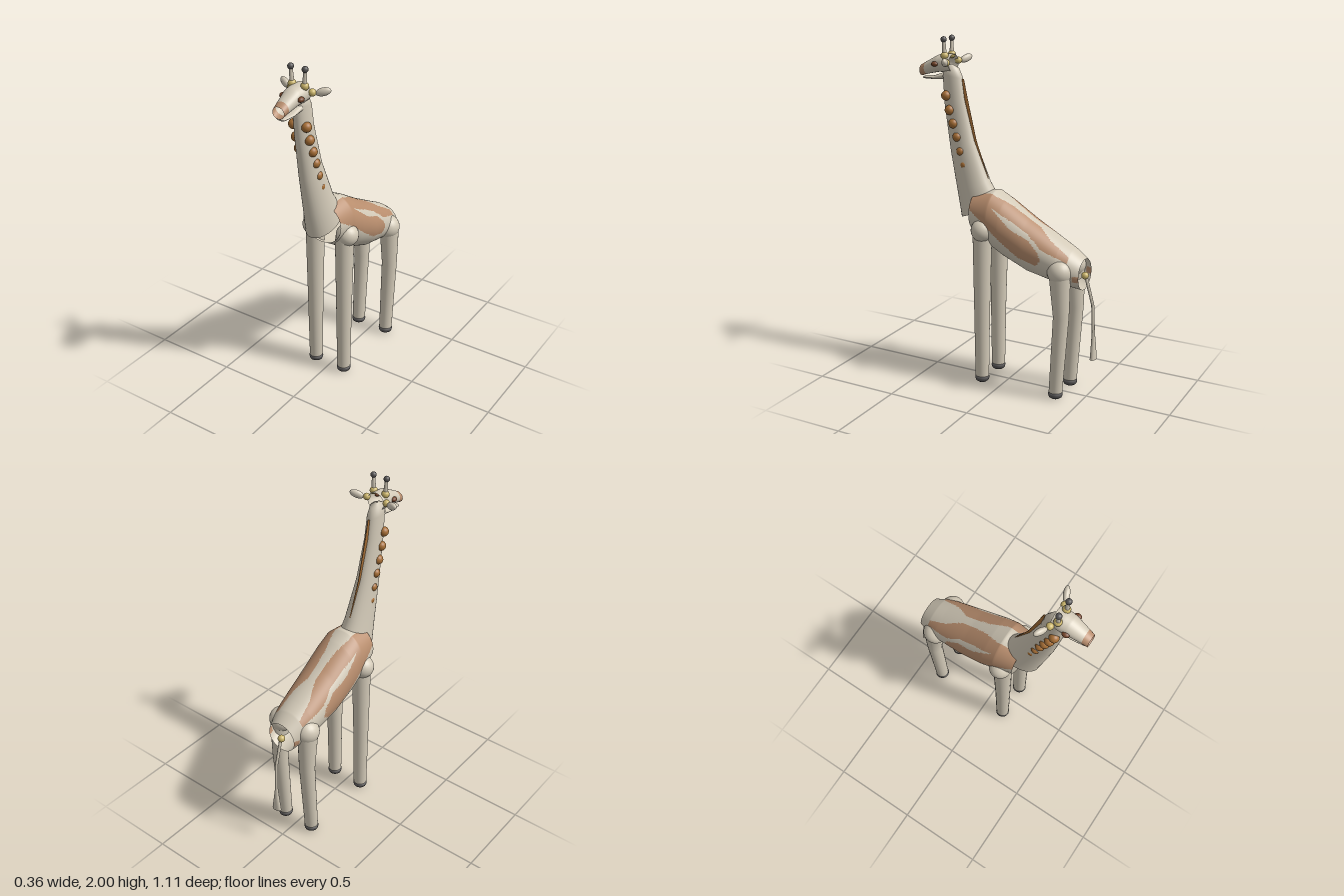
import * as THREE from 'three';

const material = (name, color) =>
  Object.assign(new THREE.MeshStandardMaterial({ color, side: THREE.DoubleSide }), { name });

// Piecewise-linear lookup in a list of [z, value], z descending
function lookup(table, z) {
  if (z >= table[0][0]) return table[0][1];
  for (let i = 1; i < table.length; i++) {
    const [za, a] = table[i - 1], [zb, b] = table[i];
    if (z >= zb) return a + (b - a) * (za - z) / (za - zb);
  }
  return table[table.length - 1][1];
}

// Elliptical tube. Each section is [y1, z1, y0, z0, halfWidth]: the two ends
// of its axis in the side plane and its half width in x.
// isSecond(x, y, z) picks the faces that take the second material.
function loft(sections, { x = 0, sides = 24, steps = 1, isSecond } = {}) {
  const rings = [];
  sections.forEach((s, i) => {
    if (i === 0) return rings.push(s);
    for (let k = 1; k <= steps; k++) {
      rings.push(s.map((v, n) => THREE.MathUtils.lerp(sections[i - 1][n], v, k / steps)));
    }
  });
  const pos = [], first = [], second = [];
  for (const [y1, z1, y0, z0, w] of rings) {
    for (let j = 0; j < sides; j++) {
      const t = j / sides * Math.PI * 2, c = Math.cos(t) / 2;
      pos.push(x + w * Math.sin(t), (y1 + y0) / 2 + (y1 - y0) * c, (z1 + z0) / 2 + (z1 - z0) * c);
    }
  }
  const mid = (tri, n) => tri.reduce((sum, v) => sum + pos[v * 3 + n], 0) / 3;
  for (let i = 0; i < rings.length - 1; i++) {
    for (let j = 0; j < sides; j++) {
      const a = i * sides + j, b = i * sides + (j + 1) % sides;
      for (const tri of [[a, b, a + sides], [b, b + sides, a + sides]]) {
        const hit = isSecond && isSecond(mid(tri, 0), mid(tri, 1), mid(tri, 2));
        (hit ? second : first).push(...tri);
      }
    }
  }
  const g = new THREE.BufferGeometry();
  g.setAttribute('position', new THREE.Float32BufferAttribute(pos, 3));
  g.setIndex([...first, ...second]);
  if (isSecond) {
    g.addGroup(0, first.length, 0);
    g.addGroup(first.length, second.length, 1);
  }
  g.computeVertexNormals();
  return g;
}

export function createModel() {
  const model = new THREE.Group();
  model.name = 'giraffe';
  const cream = material('cream hide', 0xd3cab8);
  const patch = material('tan patch', 0xb98e6e);
  const brown = material('brown spot', 0xa66e35);
  const yellow = material('yellow joint', 0xcdb76c);
  const dark = material('dark grey', 0x565454);
  const eyeBrown = material('eye brown', 0x75452a);

  const add = (name, geometry, mat, parent = model) => {
    const mesh = new THREE.Mesh(geometry, mat);
    mesh.name = name;
    parent.add(mesh);
    return mesh;
  };
  const ball = (name, mat, r, x, y, z, sx = 1, sy = 1, sz = 1) => {
    const m = add(name, new THREE.SphereGeometry(r, 24, 16), mat);
    m.position.set(x, y, z);
    m.scale.set(sx, sy, sz);
    return m;
  };

  // Body: open barrel sloping to the rump, with patches on both flanks
  const inner = [[0.195, 0.055], [0.05, 0.055], [-0.05, 0.03], [-0.2, 0.022], [-0.25, 0.04], [-0.3, 0.064], [-0.4, 0.075]];
  const lower = [[0.195, 1.05], [0.114, 1.0], [-0.02, 0.893], [-0.125, 0.815], [-0.23, 0.785], [-0.26, 0.81]];
  const streakTop = [[0.06, 1.08], [-0.07, 1.01], [-0.18, 0.946], [-0.257, 0.877], [-0.41, 0.815]];
  const streakBottom = [[0.06, 1.08], [-0.07, 0.972], [-0.18, 0.92], [-0.25, 0.855], [-0.27, 0.78]];
  const isPatch = (x, y, z) => {
    if (z < -0.44) return y > 0.71 && y < 0.745;
    if (z < -0.41 || Math.abs(x) < lookup(inner, z) || y < lookup(lower, z)) return false;
    return z > 0.06 || y > lookup(streakTop, z) || (z > -0.26 && y < lookup(streakBottom, z));
  };
  add('body', loft([
    [1.14, 0.195, 0.893, 0.195, 0.125],
    [1.152, 0.077, 0.815, 0.077, 0.146],
    [1.11, 0.0, 0.772, 0.0, 0.15],
    [1.015, -0.15, 0.707, -0.15, 0.145],
    [0.905, -0.345, 0.665, -0.345, 0.128],
    [0.87, -0.41, 0.655, -0.41, 0.113],
    [0.822, -0.475, 0.645, -0.475, 0.09],
  ], { sides: 112, steps: 14, isSecond: isPatch }), [cream, patch]);

  // Neck, open at the chest and rounded off behind the head
  add('neck', loft([
    [0.97, 0.30, 1.07, 0.05, 0.09],
    [1.13, 0.33, 1.19, 0.125, 0.073],
    [1.35, 0.372, 1.42, 0.22, 0.055],
    [1.62, 0.41, 1.65, 0.28, 0.044],
    [1.79, 0.42, 1.77, 0.297, 0.041],
    [1.83, 0.41, 1.82, 0.32, 0.034],
    [1.842, 0.37, 1.842, 0.36, 0.003],
  ], { sides: 32 }), cream);

  // Mane: thin ridge along the back of the neck
  add('mane', loft([
    [1.23, 0.16, 1.21, 0.132, 0.004],
    [1.42, 0.235, 1.42, 0.208, 0.005],
    [1.65, 0.298, 1.65, 0.262, 0.006],
    [1.76, 0.315, 1.765, 0.286, 0.005],
  ], { sides: 12 }), brown);

  // Head: open tube with a tan muzzle, and a thin lower jaw
  add('head', loft([
    [1.832, 0.558, 1.768, 0.558, 0.036],
    [1.85, 0.525, 1.778, 0.525, 0.041],
    [1.892, 0.445, 1.795, 0.445, 0.055],
    [1.9, 0.40, 1.797, 0.40, 0.06],
    [1.9, 0.352, 1.797, 0.352, 0.054],
  ], { sides: 32, steps: 4, isSecond: (x, y, z) => z > 0.527 }), [cream, patch]);
  add('jaw', loft([
    [1.762, 0.547, 1.758, 0.547, 0.012],
    [1.768, 0.54, 1.752, 0.54, 0.026],
    [1.775, 0.47, 1.752, 0.47, 0.036],
    [1.80, 0.40, 1.755, 0.40, 0.036],
  ]), cream);

  for (const side of [-1, 1]) {
    const label = side > 0 ? 'left' : 'right';

    // Eyes, ears and horns
    ball(label + 'Eye', eyeBrown, 0.019, side * 0.055, 1.845, 0.443, 0.9, 0.75, 1.1);
    ball(label + 'EarBase', yellow, 0.02, side * 0.066, 1.857, 0.36);
    const ear = ball(label + 'Ear', cream, 0.042, side * 0.117, 1.865, 0.338, 1, 0.52, 0.42);
    ear.rotation.set(0, side * 0.42, side * 0.3);
    ball(label + 'HornBase', yellow, 0.022, side * 0.039, 1.893, 0.386);
    const horn = add(label + 'Horn', new THREE.CylinderGeometry(0.009, 0.013, 0.09, 16), cream);
    horn.position.set(side * 0.041, 1.935, 0.387);
    horn.rotation.z = -side * 0.06;
    ball(label + 'HornTip', dark, 0.017, side * 0.044, 1.983, 0.388);

    // Raised spots down the side of the neck
    const spots = [[0.38, 1.67, 0.028], [0.358, 1.59, 0.028], [0.334, 1.515, 0.028],
      [0.31, 1.44, 0.027], [0.287, 1.36, 0.026], [0.265, 1.285, 0.024]];
    spots.forEach(([z, y, r], i) =>
      ball(label + 'NeckSpot' + (i + 1), brown, r, side * (0.041 + i * 0.0005), y, z));

    // Legs with round joints
    ball(label + 'Shoulder', cream, 0.065, side * 0.114, 0.935, 0.112);
    add(label + 'FrontLeg', loft([
      [0.03, 0.166, 0.03, 0.086, 0.039],
      [0.45, 0.17, 0.45, 0.078, 0.045],
      [0.92, 0.175, 0.92, 0.062, 0.054],
    ], { x: side * 0.1 }), cream);
    ball(label + 'Hip', cream, 0.072, side * 0.091, 0.755, -0.365);
    add(label + 'HindLeg', loft([
      [0.03, -0.313, 0.03, -0.391, 0.039],
      [0.5, -0.335, 0.5, -0.425, 0.046],
      [0.74, -0.306, 0.74, -0.43, 0.056],
    ], { x: side * 0.1 }), cream);

    // Hooves
    const profile = [[0, 0], [0.026, 0.002], [0.038, 0.011], [0.042, 0.025], [0.04, 0.04], [0, 0.046]]
      .map(([r, y]) => new THREE.Vector2(r, y));
    for (const [name, z] of [['FrontHoof', 0.126], ['HindHoof', -0.352]]) {
      add(label + name, new THREE.LatheGeometry(profile, 24), dark).position.set(side * 0.1, 0, z);
    }
  }

  // Tail with a flared end
  ball('tailBase', yellow, 0.021, 0, 0.727, -0.476);
  add('tail', loft([
    [0.24, -0.52, 0.24, -0.555, 0.03],
    [0.33, -0.523, 0.33, -0.55, 0.017],
    [0.4, -0.525, 0.4, -0.543, 0.008],
    [0.56, -0.518, 0.56, -0.536, 0.008],
    [0.73, -0.47, 0.73, -0.49, 0.009],
  ], { sides: 16 }), cream);

  return model;
}
